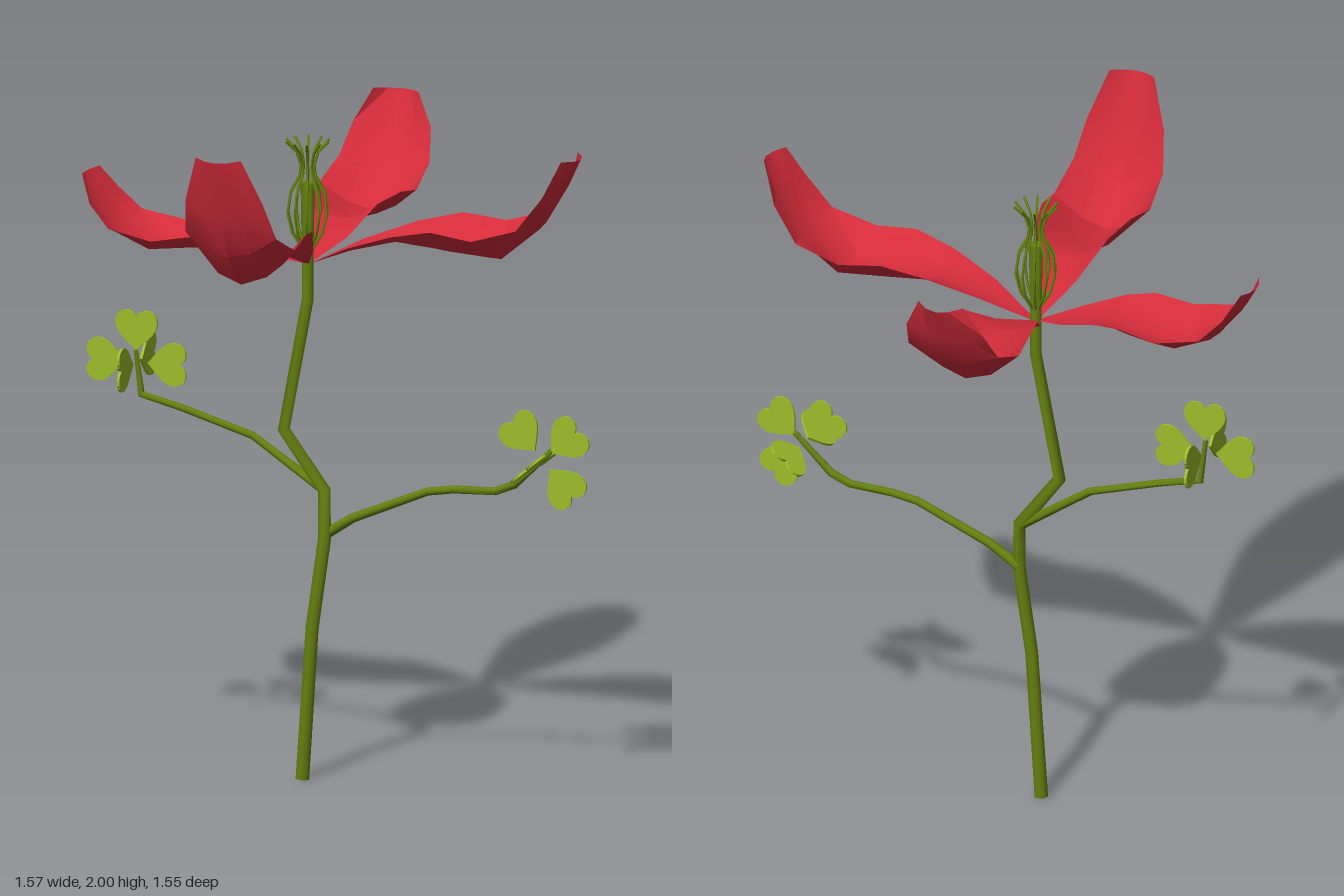
import * as THREE from 'three';
import { toCreasedNormals } from 'three/addons/utils/BufferGeometryUtils.js';

const V = (x, y, z = 0) => new THREE.Vector3(x, y, z);
const material = (color, side = THREE.FrontSide) => new THREE.MeshStandardMaterial({ color, side });
const stemGreen = material(0x64800f);
const leafGreen = material(0x9cbd2b, THREE.DoubleSide);
const petalRed = material(0xd42c3a, THREE.DoubleSide);

function mesh(name, geometry, mat) {
  const m = new THREE.Mesh(geometry, mat);
  m.name = name;
  return m;
}

// Skin a list of equally long rows of points
function loft(rows, crease) {
  const n = rows[0].length;
  const index = [];
  for (let i = 0; i < rows.length - 1; i++) {
    for (let j = 0; j < n - 1; j++) {
      const a = i * n + j;
      index.push(a, a + 1, a + n + 1, a, a + n + 1, a + n);
    }
  }
  const g = new THREE.BufferGeometry().setFromPoints(rows.flat());
  g.setIndex(index);
  return toCreasedNormals(g, crease);
}

// Capped stalk that bends sharply at each point
function stalk(points, radii, sides = 8) {
  const last = points.length - 1;
  const rows = points.map((p, i) => {
    const t = points[Math.min(i + 1, last)].clone().sub(p).normalize();
    if (i > 0) t.add(p.clone().sub(points[i - 1]).normalize()).normalize();
    const u = V(0, 0, 1).cross(t).normalize();
    const v = t.clone().cross(u);
    return Array.from({ length: sides + 1 }, (_, j) => {
      const a = ((j % sides) / sides) * Math.PI * 2;
      return p.clone()
        .addScaledVector(u, Math.cos(a) * radii[i])
        .addScaledVector(v, Math.sin(a) * radii[i]);
    });
  });
  const cap = (p) => Array.from({ length: sides + 1 }, () => p.clone());
  return loft([cap(points[0]), ...rows, cap(points[last])], 1.0);
}

// Cupped petal pointing along +x; rows: middle distance, middle y, edge distance, edge y
const petalWidths = [0.008, 0.07, 0.115, 0.14, 0.15, 0.14, 0.12, 0.07];
function petal(profile) {
  const across = [-1, -0.5, 0, 0.5, 1];
  const rows = profile.map(([mx, my, ex, ey], i) => across.map((s) => {
    const k = s * s;
    return V(mx + (ex - mx) * k, my + (ey - my) * k, s * petalWidths[i]);
  }));
  return loft(rows, 0.6);
}

// Heart leaf with its tip at the origin, growing along +y
function heart() {
  const s = new THREE.Shape();
  s.moveTo(0, 0);
  s.bezierCurveTo(0.025, 0.025, 0.062, 0.045, 0.065, 0.08);
  s.bezierCurveTo(0.066, 0.125, 0.015, 0.13, 0, 0.1);
  s.bezierCurveTo(-0.015, 0.13, -0.066, 0.125, -0.065, 0.08);
  s.bezierCurveTo(-0.062, 0.045, -0.025, 0.025, 0, 0);
  const g = new THREE.ExtrudeGeometry(s, { depth: 0.008, bevelEnabled: false, curveSegments: 6 });
  return g.translate(0, 0.035, -0.004);
}

// Five hearts: one up, four to the sides
function leafCluster(name, position, tilt) {
  const group = new THREE.Group();
  group.name = name;
  const g = heart();
  group.add(mesh('topLeaf', g, leafGreen));
  for (let i = 0; i < 4; i++) {
    const leaf = mesh('sideLeaf', g, leafGreen);
    leaf.rotation.set(0, (i * Math.PI) / 2, -Math.PI / 2, 'YXZ');
    group.add(leaf);
  }
  group.position.copy(position);
  group.rotation.z = tilt;
  return group;
}

export function createModel() {
  const model = new THREE.Group();

  // Main stem, ending in the pistil
  model.add(mesh('stem', stalk([
    V(-0.1, 0, 0.03), V(-0.07, 0.45, 0.03), V(-0.035, 0.72, 0.02), V(-0.038, 0.86, 0.015),
    V(-0.165, 1.03, 0.01), V(-0.095, 1.42, 0), V(-0.095, 1.54, 0), V(-0.095, 1.77, 0),
  ], [0.021, 0.02, 0.02, 0.02, 0.019, 0.018, 0.018, 0.022]), stemGreen));

  // Side branches
  const z = 0.012;
  model.add(mesh('leftBranch', stalk([
    V(-0.035, 0.73, z), V(0.05, 0.785, z), V(0.28, 0.882, z), V(0.36, 0.895, z),
    V(0.49, 0.9, z), V(0.55, 0.925, z), V(0.665, 1.035, z),
  ], [0.016, 0.014, 0.012, 0.012, 0.012, 0.012, 0.008]), stemGreen));
  model.add(mesh('rightBranch', stalk([
    V(-0.04, 0.86, z), V(-0.26, 1.005, z), V(-0.48, 1.07, z), V(-0.605, 1.1, z), V(-0.622, 1.23, z),
  ], [0.015, 0.012, 0.011, 0.012, 0.007]), stemGreen));

  model.add(leafCluster('rightLeaves', V(-0.62, 1.195, z), 0));
  model.add(leafCluster('leftLeaves', V(0.637, 1.005, z), -0.85));

  // Flower
  const flower = new THREE.Group();
  flower.name = 'flower';
  flower.position.x = -0.095;
  model.add(flower);

  const petals = {
    leftPetal: [0, [
      [0.01, 1.53, 0.01, 1.53], [0.14, 1.58, 0.15, 1.6], [0.29, 1.62, 0.3, 1.655], [0.43, 1.6, 0.43, 1.685],
      [0.6, 1.59, 0.56, 1.67], [0.72, 1.69, 0.695, 1.71], [0.79, 1.81, 0.77, 1.81], [0.845, 1.905, 0.81, 1.91]]],
    frontPetal: [-Math.PI / 2, [
      [0.01, 1.53, 0.01, 1.53], [0.13, 1.575, 0.14, 1.605], [0.26, 1.62, 0.27, 1.69], [0.39, 1.585, 0.39, 1.71],
      [0.55, 1.585, 0.51, 1.69], [0.66, 1.69, 0.635, 1.75], [0.72, 1.83, 0.69, 1.86], [0.775, 1.995, 0.74, 2.0]]],
    rightPetal: [Math.PI, [
      [0.01, 1.53, 0.01, 1.53], [0.11, 1.55, 0.11, 1.56], [0.225, 1.575, 0.235, 1.6], [0.32, 1.55, 0.32, 1.61],
      [0.475, 1.535, 0.43, 1.59], [0.575, 1.585, 0.565, 1.615], [0.645, 1.67, 0.63, 1.68], [0.69, 1.745, 0.67, 1.75]]],
    backPetal: [Math.PI / 2, [
      [0.01, 1.53, 0.01, 1.53], [0.13, 1.565, 0.14, 1.58], [0.26, 1.605, 0.27, 1.655], [0.39, 1.575, 0.4, 1.665],
      [0.54, 1.57, 0.5, 1.65], [0.66, 1.67, 0.635, 1.7], [0.72, 1.78, 0.7, 1.79], [0.775, 1.88, 0.73, 1.885]]],
  };
  for (const [name, [turn, profile]] of Object.entries(petals)) {
    const p = mesh(name, petal(profile), petalRed);
    p.rotation.y = turn;
    flower.add(p);
  }

  // Ring of bulging stamens that flare at the top
  const filament = stalk([
    V(0.014, 1.57), V(0.045, 1.62), V(0.06, 1.68), V(0.052, 1.74),
    V(0.024, 1.79), V(0.02, 1.82), V(0.032, 1.86), V(0.065, 1.895),
  ], Array(8).fill(0.004), 5);
  for (let i = 0; i < 10; i++) {
    const f = mesh('stamen', filament, stemGreen);
    f.rotation.y = (i / 10) * Math.PI * 2;
    flower.add(f);
  }
  return model;
}
